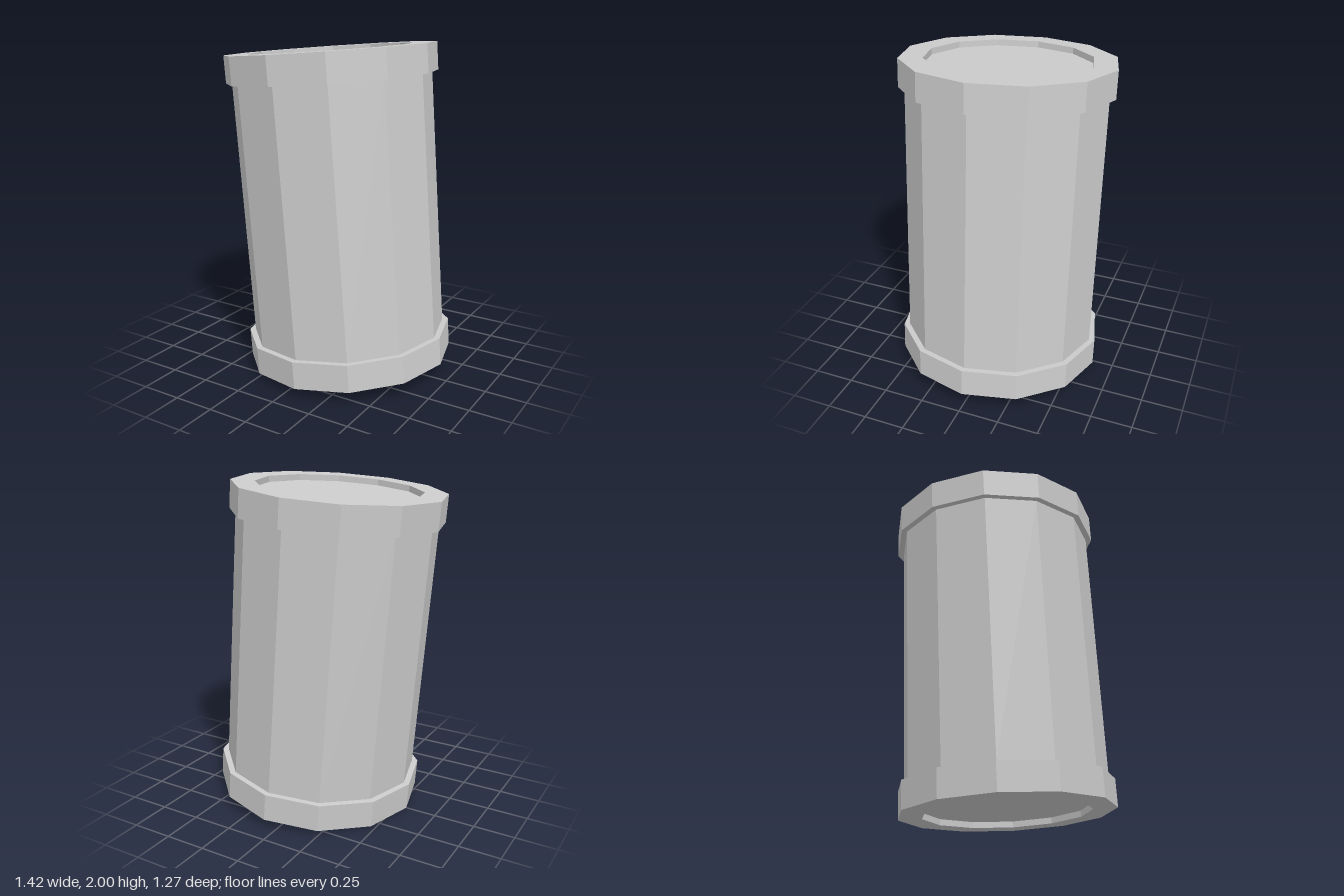
import * as THREE from 'three';

const SIDES = 12;
const HALF = 0.953;   // half of the overall length along the axis
const BODY_R = 0.6;
const RIM_R = 0.636;
const RECESS_R = 0.495;
const RIM_H = 0.166;
const RECESS_D = 0.037;

export function createModel() {
  const material = new THREE.MeshStandardMaterial({ color: 0xcccccc, flatShading: true });
  const model = new THREE.Group();
  model.name = 'canister';

  // Tilted assembly, leaning towards -x
  const can = new THREE.Group();
  can.name = 'leaningCan';
  can.rotation.z = THREE.MathUtils.degToRad(4.5);
  can.position.y = 1;
  model.add(can);

  // Straight twelve-sided wall
  const wall = new THREE.Mesh(
    new THREE.CylinderGeometry(BODY_R, BODY_R, 2 * (HALF - RIM_H), SIDES, 1, true), material);
  wall.name = 'wall';
  can.add(wall);

  // End cap: overhanging rim with a shallow recessed lid
  const profile = [
    [BODY_R, HALF - RIM_H],
    [RIM_R, HALF - RIM_H],
    [RIM_R, HALF],
    [RECESS_R, HALF],
    [RECESS_R, HALF - RECESS_D],
    [0, HALF - RECESS_D],
  ].map(([x, y]) => new THREE.Vector2(x, y));
  const capGeometry = new THREE.LatheGeometry(profile, SIDES);

  for (const [name, turn] of [['topCap', 0], ['bottomCap', Math.PI]]) {
    const cap = new THREE.Mesh(capGeometry, material);
    cap.name = name;
    cap.rotation.x = turn;
    can.add(cap);
  }

  return model;
}
